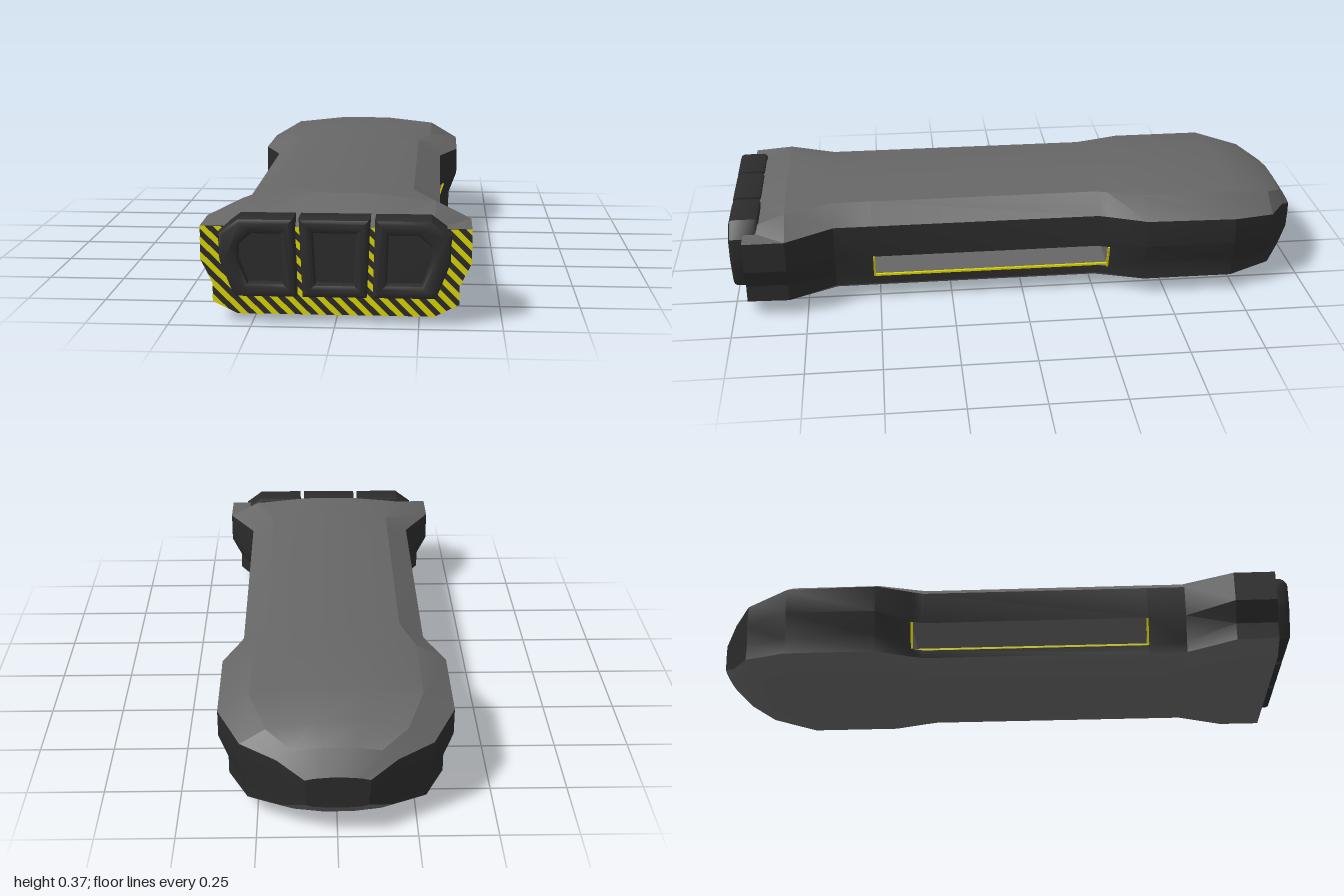
import * as THREE from 'three';
import { toCreasedNormals } from 'three/addons/utils/BufferGeometryUtils.js';

const material = (name, color) => {
  const m = new THREE.MeshStandardMaterial({ color });
  m.name = name;
  return m;
};

// Hull stations from front to back
const STATIONS = [
  // z, upper half width, lower half width, top, shoulder drop, edge, waist, low, pan, bottom, keel rise
  [0.95, 0.405, 0.37, 0.295, 0, 0.295, 0.19, 0.12, 0.063, 0.025, 0],
  [0.81, 0.405, 0.37, 0.37, 0.02, 0.295, 0.19, 0.12, 0.06, 0.0, 0.025],
  [0.65, 0.31, 0.28, 0.37, 0.02, 0.295, 0.185, 0.1, 0.06, 0, 0.025],
  [0.52, 0.31, 0.28, 0.37, 0.02, 0.295, 0.18, 0.09, 0.06, 0, 0.025],
  [-0.26, 0.31, 0.28, 0.37, 0.02, 0.295, 0.18, 0.09, 0.06, 0, 0.025],
  [-0.3, 0.325, 0.295, 0.37, 0.02, 0.295, 0.18, 0.09, 0.06, 0, 0.025],
  [-0.42, 0.375, 0.345, 0.37, 0.02, 0.295, 0.2, 0.12, 0.06, 0, 0.025],
  [-0.73, 0.375, 0.345, 0.37, 0.02, 0.29, 0.2, 0.12, 0.06, 0, 0.025],
  [-0.88, 0.3, 0.28, 0.335, 0.018, 0.265, 0.19, 0.12, 0.07, 0.03, 0.02],
  [-0.95, 0.185, 0.17, 0.295, 0.012, 0.25, 0.18, 0.125, 0.085, 0.06, 0.012],
  [-1.0, 0.1, 0.095, 0.22, 0.004, 0.21, 0.18, 0.14, 0.12, 0.11, 0.004],
];
const SLOT_FRONT = 3, SLOT_BACK = 5;

// Ring of 16 points: down the left side, then mirrored up the right
function ring([z, w, lw, top, drop, edge, waist, low, pan, bottom, rise]) {
  const half = [
    [0.24 * w, top], [0.73 * w, top - drop], [w, edge], [w, waist],
    [lw, low], [lw, pan], [0.8 * lw, bottom + rise], [0.27 * lw, bottom],
  ];
  const mirrored = half.map(([x, y]) => [-x, y]).reverse();
  return [...half, ...mirrored].map(([x, y]) => new THREE.Vector3(x, y, z));
}

function quadMesh(quads, mat, name) {
  const points = quads.flatMap(([a, b, c, d]) => [a, b, c, a, c, d]);
  let g = new THREE.BufferGeometry().setFromPoints(points);
  g.computeVertexNormals();
  g = toCreasedNormals(g, 0.4);
  const mesh = new THREE.Mesh(g, mat);
  mesh.name = name;
  return mesh;
}

const toShape = (pts) => new THREE.Shape(pts.map(([x, y]) => new THREE.Vector2(x, y)));

function flatMesh(pts, z, mat, name) {
  const mesh = new THREE.Mesh(new THREE.ShapeGeometry(toShape(pts)), mat);
  mesh.position.z = z;
  mesh.name = name;
  return mesh;
}

// Keep the part of a polygon where sign * (x + y - c) >= 0
function clip(pts, c, sign) {
  const out = [];
  const side = ([x, y]) => sign * (x + y - c);
  pts.forEach((p, i) => {
    const q = pts[(i + 1) % pts.length];
    const a = side(p), b = side(q);
    if (a >= 0) out.push(p);
    if (a * b < 0) {
      const t = a / (a - b);
      out.push([p[0] + (q[0] - p[0]) * t, p[1] + (q[1] - p[1]) * t]);
    }
  });
  return out;
}

export function createModel() {
  const group = new THREE.Group();
  const grey = material('shell grey', 0x666666);
  const dark = material('dark rubber', 0x2b2b2b);
  const yellow = material('warning yellow', 0xdcd600);

  // Hull: grey roof and belly, dark side bands, open slot through the middle
  const rings = STATIONS.map(ring);
  const shell = [], band = [], slot = [];
  for (let s = 0; s < rings.length - 1; s++) {
    const A = rings[s], B = rings[s + 1];
    const quad = (k, n) => [A[k], A[n], B[n], B[k]];
    const open = s >= SLOT_FRONT && s < SLOT_BACK;
    for (let k = 0; k < 16; k++) {
      const h = Math.min(k, 14 - k); // same band index on both sides
      const isSide = k !== 15 && h >= 2 && h <= 4;
      if (open && h === 3) continue;
      (isSide ? band : shell).push(quad(k, (k + 1) % 16));
    }
    if (open) slot.push(quad(3, 12), quad(11, 4));
  }
  const f = rings[SLOT_FRONT], b = rings[SLOT_BACK];
  slot.push([f[3], f[4], f[11], f[12]], [b[12], b[11], b[4], b[3]]);
  group.add(quadMesh(shell, grey, 'roofAndBelly'));
  group.add(quadMesh(band, dark, 'sideBands'));
  group.add(quadMesh(slot, grey, 'slotLining'));

  // End faces
  const face = [[0.405, 0.295], [0.405, 0.19], [0.37, 0.12], [0.37, 0.063], [0.296, 0.025]];
  const front = [...face, ...face.map(([x, y]) => [-x, y]).reverse()];
  group.add(flatMesh(front, 0.95, dark, 'frontFace'));
  const tail = rings[rings.length - 1].map((p) => [p.x, p.y]);
  const tailFace = flatMesh(tail, -1, dark, 'tailFace');
  tailFace.rotation.y = Math.PI;
  group.add(tailFace);

  // Diagonal warning stripes on the front face
  const stripes = new THREE.Group();
  stripes.name = 'warningStripes';
  const period = 0.047;
  for (let c = -0.4; c < 0.72; c += period) {
    const piece = clip(clip(front, c, 1), c + period / 2, -1);
    if (piece.length > 2) stripes.add(flatMesh(piece, 0.953, yellow, 'stripe'));
  }
  group.add(stripes);

  // Bumper pads: chamfered frames around sunken panels
  function pad(outer, inner, name) {
    const g = new THREE.Group();
    g.name = name;
    const shape = toShape(outer);
    shape.holes.push(new THREE.Path(inner.map(([x, y]) => new THREE.Vector2(x, y))));
    const bevel = 0.015;
    const geo = new THREE.ExtrudeGeometry(shape, {
      depth: 0.07, bevelEnabled: true, bevelSegments: 2,
      bevelSize: bevel, bevelThickness: bevel, bevelOffset: -bevel,
    });
    const frame = new THREE.Mesh(toCreasedNormals(geo, 0.5), dark);
    frame.position.z = 0.915;
    frame.name = 'padFrame';
    g.add(frame, flatMesh(inner, 0.972, dark, 'padPanel'));
    group.add(g);
  }
  pad(
    [[-0.095, 0.09], [0.095, 0.09], [0.105, 0.33], [-0.105, 0.33]],
    [[-0.056, 0.132], [0.056, 0.132], [0.064, 0.285], [-0.064, 0.285]], 'centrePad');
  const padOuter = [[0.113, 0.09], [0.3, 0.09], [0.342, 0.2], [0.345, 0.285], [0.285, 0.33], [0.12, 0.33]];
  const padInner = [[0.155, 0.134], [0.257, 0.134], [0.285, 0.205], [0.285, 0.25], [0.247, 0.282], [0.16, 0.282]];
  const mirror = (pts) => pts.map(([x, y]) => [-x, y]).reverse();
  pad(padOuter, padInner, 'leftPad');
  pad(mirror(padOuter), mirror(padInner), 'rightPad');

  // Yellow trim along the slot sill and its ends
  for (const side of [-1, 1]) {
    const add = (w, h, d, x, y, z, tilt) => {
      const m = new THREE.Mesh(new THREE.BoxGeometry(w, h, d), yellow);
      m.position.set(side * x, y, z);
      m.rotation.z = -side * tilt;
      m.name = 'slotTrim';
      group.add(m);
    };
    add(0.008, 0.007, 0.82, 0.277, 0.0925, 0.11, 0);
    add(0.006, 0.092, 0.007, 0.294, 0.135, 0.517, 0.32);
    add(0.006, 0.092, 0.007, 0.309, 0.135, -0.297, 0.32);
  }
  return group;
}
